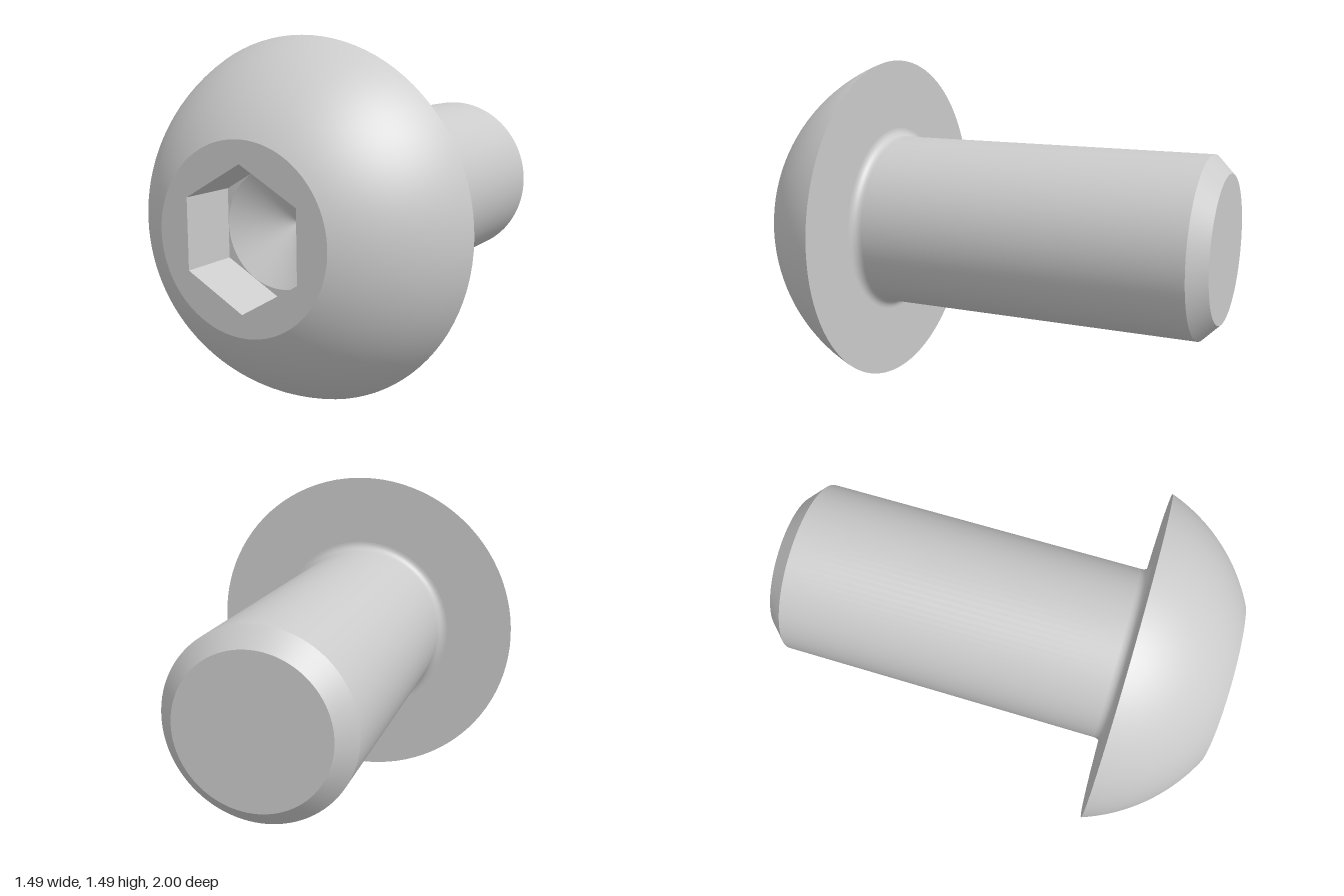
import * as THREE from 'three';

const SEG = 96;
const HEAD_R = 0.745, FACE_R = 0.373, SHANK_R = 0.392, TIP_R = 0.317;
const HEAD_Z = 0.569, CHAMFER_Z = -0.925, FILLET = 0.039;
const HEX_FLAT = 0.245, HEX_R = HEX_FLAT / Math.cos(Math.PI / 6);
const FLOOR_Z = 0.745, CONE_Z = 0.604;

const material = new THREE.MeshStandardMaterial({ color: 0xcccccc });

// Revolve [radius, z] points around the z axis
function revolve(name, points) {
  const geometry = new THREE.LatheGeometry(points.map(([r, z]) => new THREE.Vector2(r, z)), SEG);
  geometry.rotateX(Math.PI / 2);
  const mesh = new THREE.Mesh(geometry, material);
  mesh.name = name;
  return mesh;
}

// Points along an arc in the (radius, z) plane
function arc(r, z, radius, from, to, steps) {
  return Array.from({ length: steps + 1 }, (_, i) => {
    const a = from + (to - from) * i / steps;
    return [r + radius * Math.cos(a), z + radius * Math.sin(a)];
  });
}

// Regular outline with its first corner pointing up
function outline(radius, sides) {
  return Array.from({ length: sides }, (_, i) => {
    const a = Math.PI / 2 + i * 2 * Math.PI / sides;
    return new THREE.Vector2(radius * Math.cos(a), radius * Math.sin(a));
  });
}

// Flat plate facing +z with an opening
function plate(name, outer, inner, z) {
  const shape = new THREE.Shape(outer);
  shape.holes.push(new THREE.Path(inner));
  const mesh = new THREE.Mesh(new THREE.ShapeGeometry(shape), material);
  mesh.name = name;
  mesh.position.z = z;
  return mesh;
}

export function createModel() {
  const screw = new THREE.Group();
  screw.name = 'buttonHeadScrew';

  // Shank, from the chamfered tip to the fillet under the head
  const shank = new THREE.Group();
  shank.name = 'shank';
  shank.add(
    revolve('tipFace', [[0, -1], [TIP_R, -1]]),
    revolve('tipChamfer', [[TIP_R, -1], [SHANK_R, CHAMFER_Z]]),
    revolve('shankBody', [[SHANK_R, CHAMFER_Z], [SHANK_R, HEAD_Z - FILLET]]),
    revolve('neckFillet', arc(SHANK_R + FILLET, HEAD_Z - FILLET, FILLET, Math.PI, Math.PI / 2, 8)),
  );

  // Domed head: a sphere band whose centre lies on the axis
  const centre = (1 + HEAD_Z - (HEAD_R ** 2 - FACE_R ** 2) / (1 - HEAD_Z)) / 2;
  const domeR = Math.hypot(FACE_R, 1 - centre);
  const dome = arc(0, centre, domeR,
    Math.atan2(HEAD_Z - centre, HEAD_R), Math.atan2(1 - centre, FACE_R), 24);
  const head = new THREE.Group();
  head.name = 'head';
  head.add(
    revolve('headUnderside', [[SHANK_R + FILLET, HEAD_Z], [HEAD_R, HEAD_Z]]),
    revolve('headDome', dome),
    plate('headFace', outline(FACE_R, SEG), outline(HEX_R, 6), 1),
  );

  // Hexagonal socket with a drilled cone at the bottom
  const socket = new THREE.Group();
  socket.name = 'hexSocket';
  const wallGeometry = new THREE.CylinderGeometry(HEX_R, HEX_R, 1 - FLOOR_Z, 6, 1, true);
  wallGeometry.rotateX(Math.PI / 2);
  const walls = new THREE.Mesh(wallGeometry, new THREE.MeshStandardMaterial({
    color: 0xcccccc, flatShading: true, side: THREE.BackSide,
  }));
  walls.name = 'socketWalls';
  walls.position.z = (1 + FLOOR_Z) / 2;
  const drillR = HEX_FLAT - 0.001;
  socket.add(
    walls,
    plate('socketFloor', outline(HEX_R, 6), outline(drillR, SEG), FLOOR_Z),
    revolve('socketCone', [[drillR, FLOOR_Z], [0, CONE_Z]]),
  );

  screw.add(shank, head, socket);
  screw.position.y = HEAD_R;
  const model = new THREE.Group();
  model.add(screw);
  return model;
}
